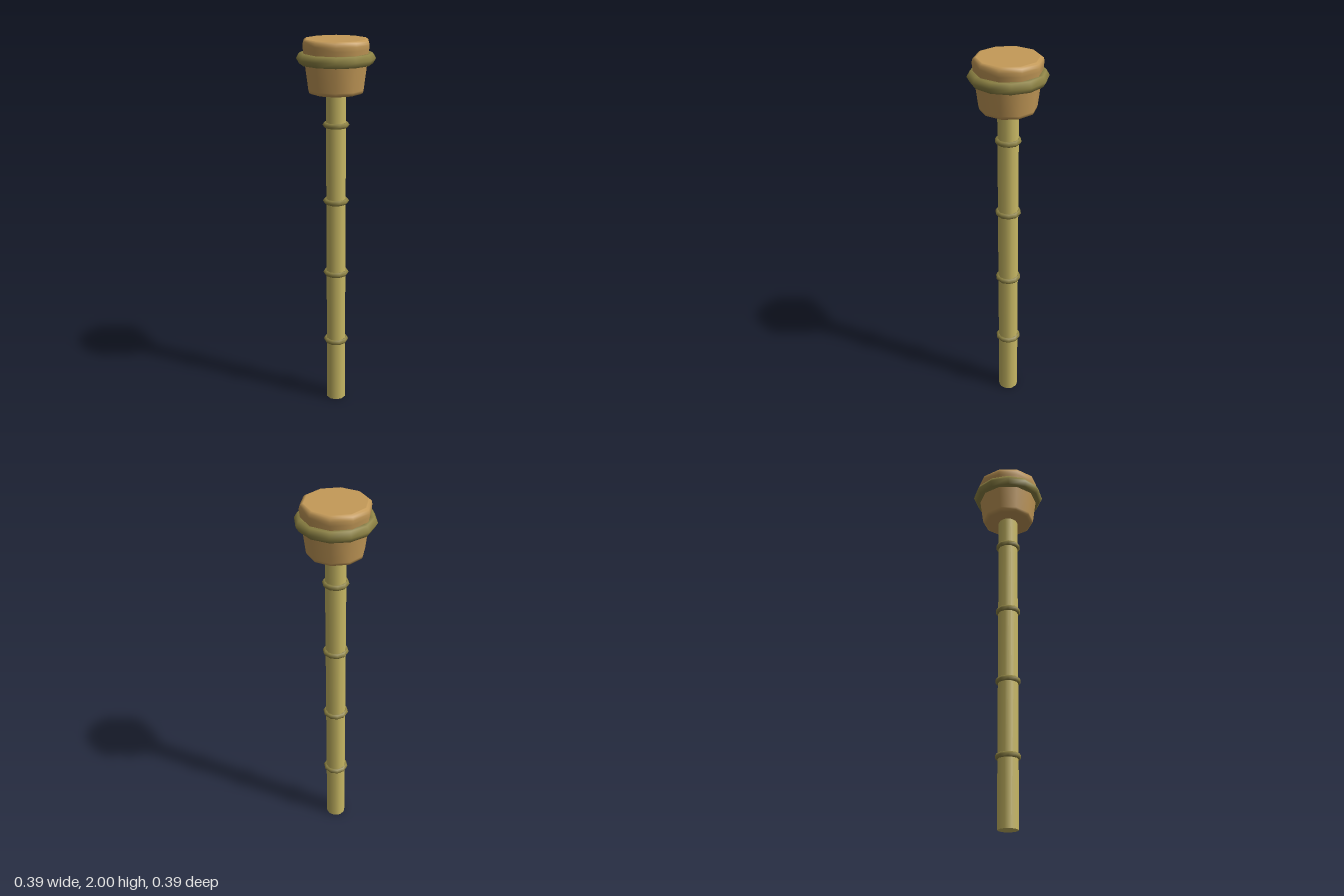
import * as THREE from 'three';

const material = (name, color) => {
  const m = new THREE.MeshStandardMaterial({ color });
  m.name = name;
  return m;
};

export function createModel() {
  const model = new THREE.Group();
  const wood = material('warm wood', 0xc49a58);
  const cane = material('pale cane', 0xc8b864);
  const olive = material('olive binding', 0x8f8445);

  const add = (name, geometry, mat, y) => {
    const mesh = new THREE.Mesh(geometry, mat);
    mesh.name = name;
    mesh.position.y = y;
    model.add(mesh);
  };

  // Faceted ring lying flat, with a pointed outer edge
  const ring = (radius, tube, sides) =>
    new THREE.TorusGeometry(radius, tube, 6, sides).rotateX(-Math.PI / 2);

  // Cane shaft
  add('shaft', new THREE.CylinderGeometry(0.053, 0.053, 1.76, 10), cane, 0.88);

  // Joints along the shaft
  for (let i = 0; i < 4; i++) {
    add('joint' + (i + 1), ring(0.053, 0.015, 10), olive, 0.362 + i * 0.404);
  }

  // Tapered head with softened rims, listed from bottom to top
  const profile = [
    [0, 1.735], [0.122, 1.735], [0.128, 1.735], [0.139, 1.741], [0.143, 1.755],
    [0.169, 1.955], [0.171, 1.975], [0.167, 1.992], [0.156, 2], [0.15, 2], [0, 2],
  ].map(([r, y]) => new THREE.Vector2(r, y));
  add('head', new THREE.LatheGeometry(profile, 10), wood, 0);

  // Binding around the head
  add('headBand', ring(0.166, 0.031, 12), olive, 1.906);

  return model;
}
